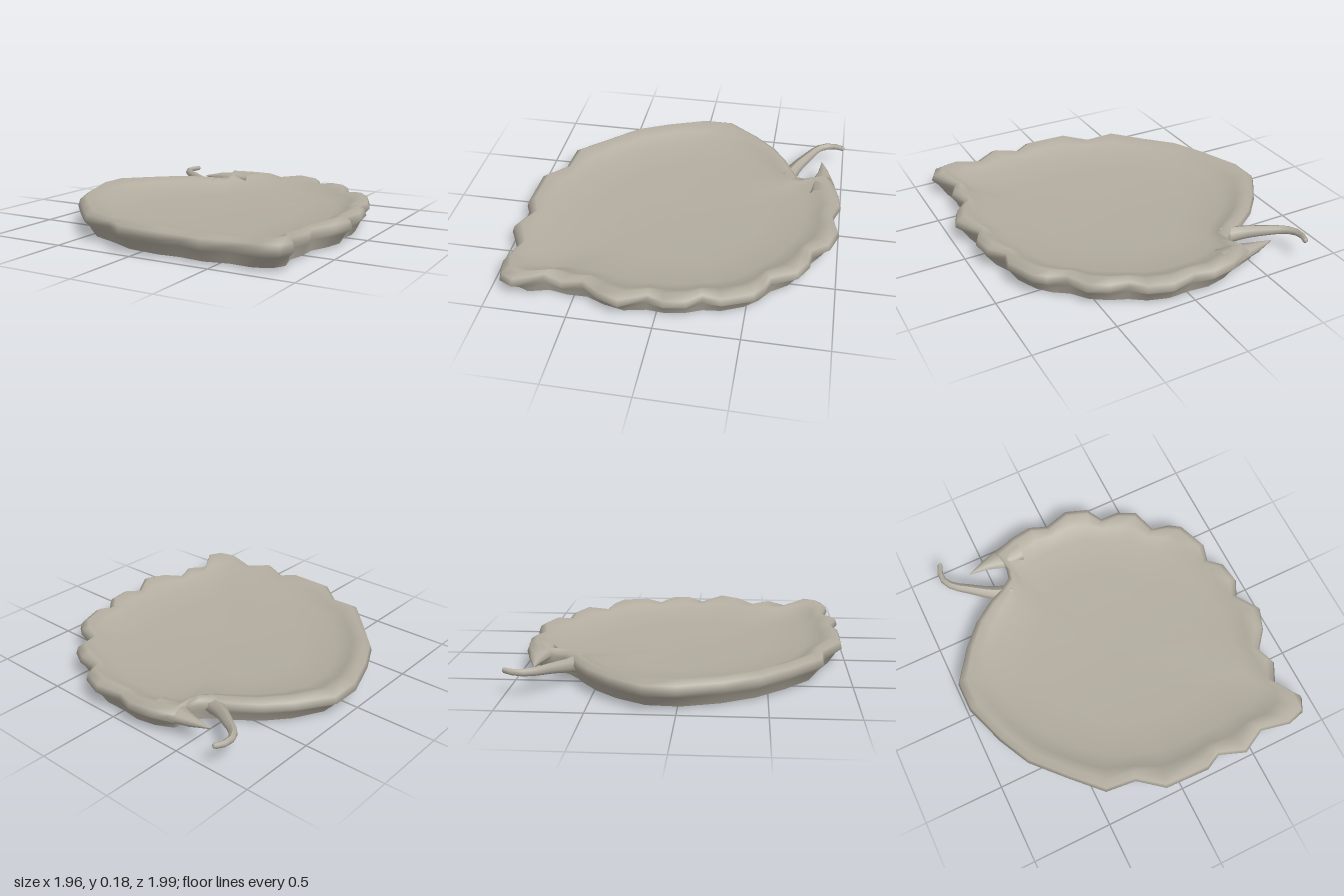
import * as THREE from 'three';

// Rim outline seen from above (x, z), starting beside the stem and running round by the back
const OUTLINE = [
  [-0.40, -0.72], [-0.385, -0.79], [-0.42, -0.93], [-0.27, -0.98], [-0.13, -1], [-0.02, -0.96],
  [0.14, -1], [0.28, -0.95], [0.34, -0.85], [0.46, -0.84], [0.57, -0.78], [0.62, -0.63],
  [0.73, -0.6], [0.8, -0.55], [0.87, -0.37], [0.84, -0.26], [0.92, -0.18], [0.94, -0.05],
  [0.89, 0.05], [0.98, 0.2], [0.93, 0.33], [0.84, 0.44], [0.88, 0.56], [0.82, 0.68],
  [0.92, 0.84], [0.88, 0.92], [0.77, 0.95], [0.59, 0.91], [0.44, 0.99], [0.28, 0.93],
  [0.18, 0.98], [-0.1, 0.97], [-0.25, 0.85], [-0.44, 0.83], [-0.62, 0.645], [-0.79, 0.46],
  [-0.89, 0.26], [-0.98, 0], [-0.98, -0.19], [-0.84, -0.39], [-0.71, -0.53], [-0.58, -0.62],
  [-0.5, -0.66],
];

// Bridges equal-length rings; 'closed' joins the last point of each ring to the first
function loft(rings) {
  const n = rings[0].length, index = [];
  for (let k = 0; k < rings.length - 1; k++) {
    for (let i = 0; i < n; i++) {
      const j = (i + 1) % n, a = k * n + i, b = k * n + j;
      index.push(a, a + n, b, b, a + n, b + n);
    }
  }
  const g = new THREE.BufferGeometry();
  g.setAttribute('position', new THREE.Float32BufferAttribute(rings.flat(2), 3));
  g.setIndex(index);
  g.computeVertexNormals();
  return g;
}

export function createModel() {
  const group = new THREE.Group();
  const clay = new THREE.MeshStandardMaterial({ color: 0xb3ada0, side: THREE.DoubleSide });
  clay.name = 'warm grey clay';
  const add = (name, geometry) => {
    const mesh = new THREE.Mesh(geometry, clay);
    mesh.name = name;
    group.add(mesh);
  };

  // Smoothed outline without the lobes, and how far each point stands out as a lobe
  const n = OUTLINE.length;
  const at = (i) => OUTLINE[(i + n) % n];
  const smooth = OUTLINE.map((p, i) => [0, 1].map((c) =>
    (at(i - 2)[c] + 2 * at(i - 1)[c] + 2 * p[c] + 2 * at(i + 1)[c] + at(i + 2)[c]) / 8));
  const lobe = OUTLINE.map((p, i) =>
    THREE.MathUtils.clamp((Math.hypot(...p) - Math.hypot(...smooth[i])) / 0.05, -1, 1));

  // One ring: scale, mix of smooth (0) and lobed (1) outline, height, lobe lift
  const ring = ([scale, mix, y, lift]) => OUTLINE.map((p, i) => {
    const x = THREE.MathUtils.lerp(smooth[i][0], p[0], mix);
    const z = THREE.MathUtils.lerp(smooth[i][1], p[1], mix);
    return [x * scale, y + lift * lobe[i], z * scale];
  });

  // Outer wall, rolled rim and shallow hollow
  add('leafDish', loft([
    [0.95, 0.4, 0.01, 0],
    [0.975, 0.7, 0.075, 0],
    [1, 1, 0.11, 0],
    [0.985, 1, 0.143, 0.01],
    [0.945, 0.9, 0.165, 0.015],
    [0.89, 0.5, 0.14, 0.005],
    [0.8, 0.2, 0.105, 0],
    [0.55, 0, 0.085, 0],
    [0, 0, 0.08, 0],
  ].map(ring)));

  // Flat underside
  add('underside', loft([[0, 0, 0, 0], [0.95, 0.4, 0.01, 0]].map(ring)));

  // Pointed end of the back lobe beside the notch: narrowing sections along x
  const sections = [
    [-0.25, -0.885, 0.09, 0.045], [-0.38, -0.87, 0.075, 0.04],
    [-0.5, -0.872, 0.036, 0.03], [-0.62, -0.855, 0.002, 0.004],
  ];
  add('lobeTip', loft(sections.map(([x, z, rz, ry]) =>
    Array.from({ length: 8 }, (_, i) => {
      const a = (i / 8) * Math.PI * 2;
      return [x, 0.125 + ry * Math.sin(a), z + rz * Math.cos(a)];
    }))));

  // Curled stem, thick at the dish and thin at its cut end
  const path = new THREE.CatmullRomCurve3([
    [-0.42, 0.09, -0.63], [-0.54, 0.11, -0.68], [-0.65, 0.13, -0.75],
    [-0.76, 0.145, -0.83], [-0.795, 0.15, -0.91], [-0.77, 0.155, -0.99],
  ].map((p) => new THREE.Vector3(...p)));
  const steps = 10, sides = 7;
  const stem = new THREE.TubeGeometry(path, steps, 1, sides, false);
  const pos = stem.attributes.position, v = new THREE.Vector3();
  for (let s = 0; s <= steps; s++) {
    const c = path.getPointAt(s / steps);
    const r = THREE.MathUtils.lerp(0.06, 0.016, Math.pow(s / steps, 0.6));
    for (let i = 0; i <= sides; i++) {
      const k = s * (sides + 1) + i;
      v.fromBufferAttribute(pos, k).sub(c).multiplyScalar(r).add(c);
      pos.setXYZ(k, v.x, v.y, v.z);
    }
  }
  stem.computeVertexNormals();
  add('stem', stem);
  const cap = new THREE.SphereGeometry(0.016, 7, 5);
  cap.translate(-0.77, 0.155, -0.985);
  add('stemEnd', cap);

  return group;
}
